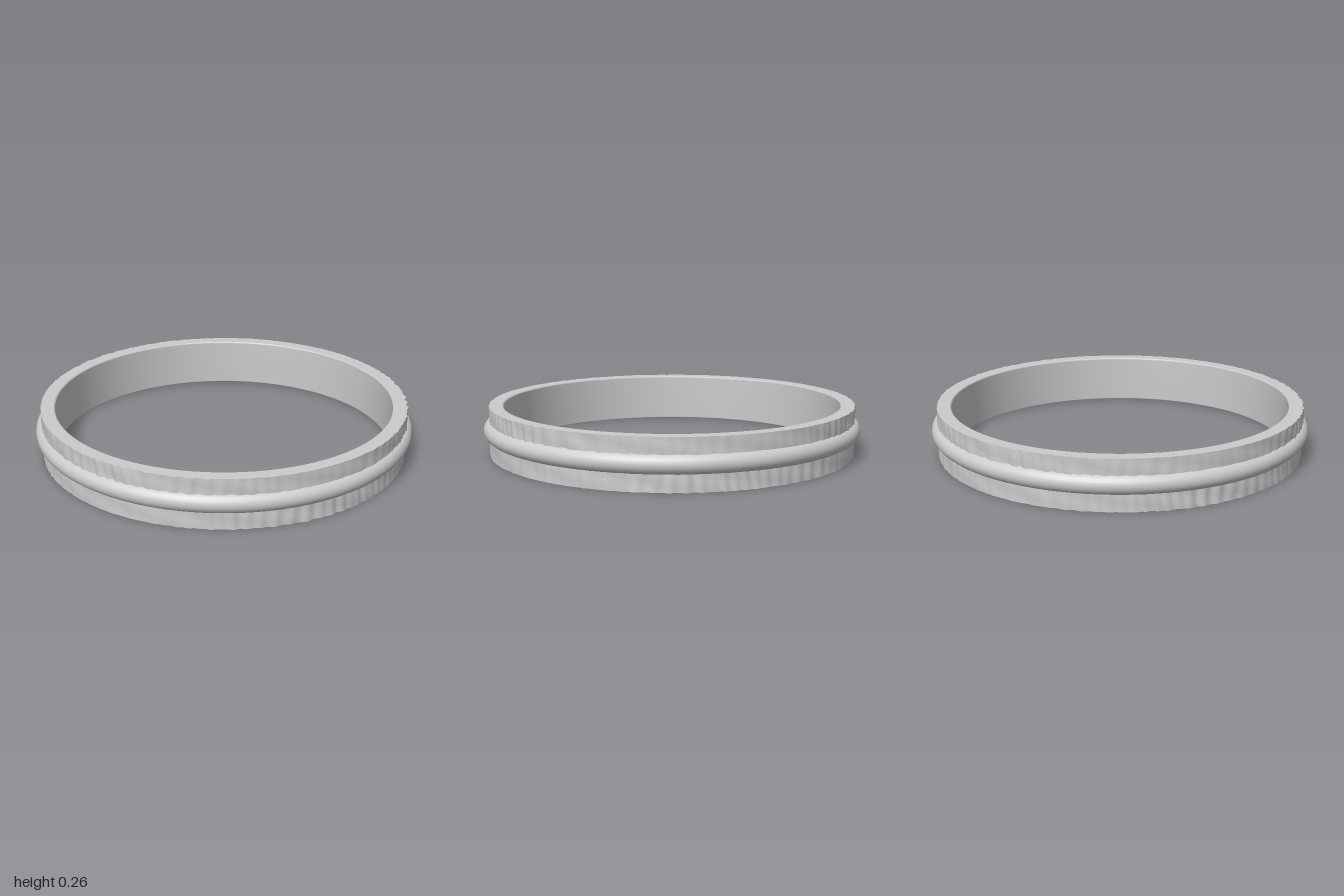
import * as THREE from 'three';
import { toCreasedNormals } from 'three/addons/utils/BufferGeometryUtils.js';

const material = new THREE.MeshStandardMaterial({ color: 0xcccccc });
const SEGMENTS = 480;
const HEIGHT = 0.26, INNER = 0.893, OUTER = 0.969;

// Uneven upright ripples of the hand-worked bands; periodic around the ring
function ripple(angle, y, phase) {
  const lean = 5 * y + phase;
  const fade = 0.6 + 0.4 * Math.sin(3 * angle + phase);
  const fine = Math.sin(97 * angle + 3 * Math.sin(7 * angle + lean) + lean);
  const broad = Math.sin(53 * angle + 2 * Math.sin(11 * angle - lean) + 14 * y);
  const dents = Math.sin(31 * angle + 40 * y + phase) * Math.sin(19 * angle - 30 * y);
  return fade * (0.0035 * fine + 0.0025 * broad) + 0.0015 * dents;
}

function lathe(name, profile) {
  const geometry = new THREE.LatheGeometry(profile.map(([r, y]) => new THREE.Vector2(r, y)), SEGMENTS);
  const mesh = new THREE.Mesh(geometry, material);
  mesh.name = name;
  return mesh;
}

// One rough band: bottom edge, rippled outer wall, top edge
function roughBand(name, y0, y1, phase) {
  const rows = 7;
  const profile = [[INNER + 0.008, y0]];
  for (let i = 0; i <= rows; i++) profile.push([OUTER, y0 + (y1 - y0) * i / rows]);
  profile.push([INNER + 0.008, y1]);
  const mesh = lathe(name, profile);
  const p = mesh.geometry.attributes.position;
  for (let i = 0; i < p.count; i++) {
    const x = p.getX(i), y = p.getY(i), z = p.getZ(i);
    const r = Math.hypot(x, z);
    if (r < OUTER - 0.01) continue;
    const k = 1 + ripple(Math.atan2(x, z), y, phase) / r;
    p.setXYZ(i, x * k, y, z * k);
  }
  mesh.geometry = toCreasedNormals(mesh.geometry, 0.8);
  return mesh;
}

export function createModel() {
  const ring = new THREE.Group();
  ring.name = 'ring';

  ring.add(roughBand('lowerRoughBand', 0, 0.088, 0.7));
  ring.add(roughBand('upperRoughBand', 0.177, HEIGHT, 2.9));

  // Smooth inner surface with softened rims
  const e = 0.008;
  ring.add(lathe('innerSurface', [
    [INNER + e, HEIGHT], [INNER + e * 0.3, HEIGHT - e * 0.3], [INNER, HEIGHT - e],
    [INNER, e], [INNER + e * 0.3, e * 0.3], [INNER + e, 0],
  ]));

  // Polished rounded bead between the bands
  const bead = new THREE.Mesh(new THREE.TorusGeometry(0.95, 0.05, 24, 240), material);
  bead.name = 'centreBead';
  bead.rotation.x = Math.PI / 2;
  bead.position.y = 0.132;
  ring.add(bead);

  return ring;
}
